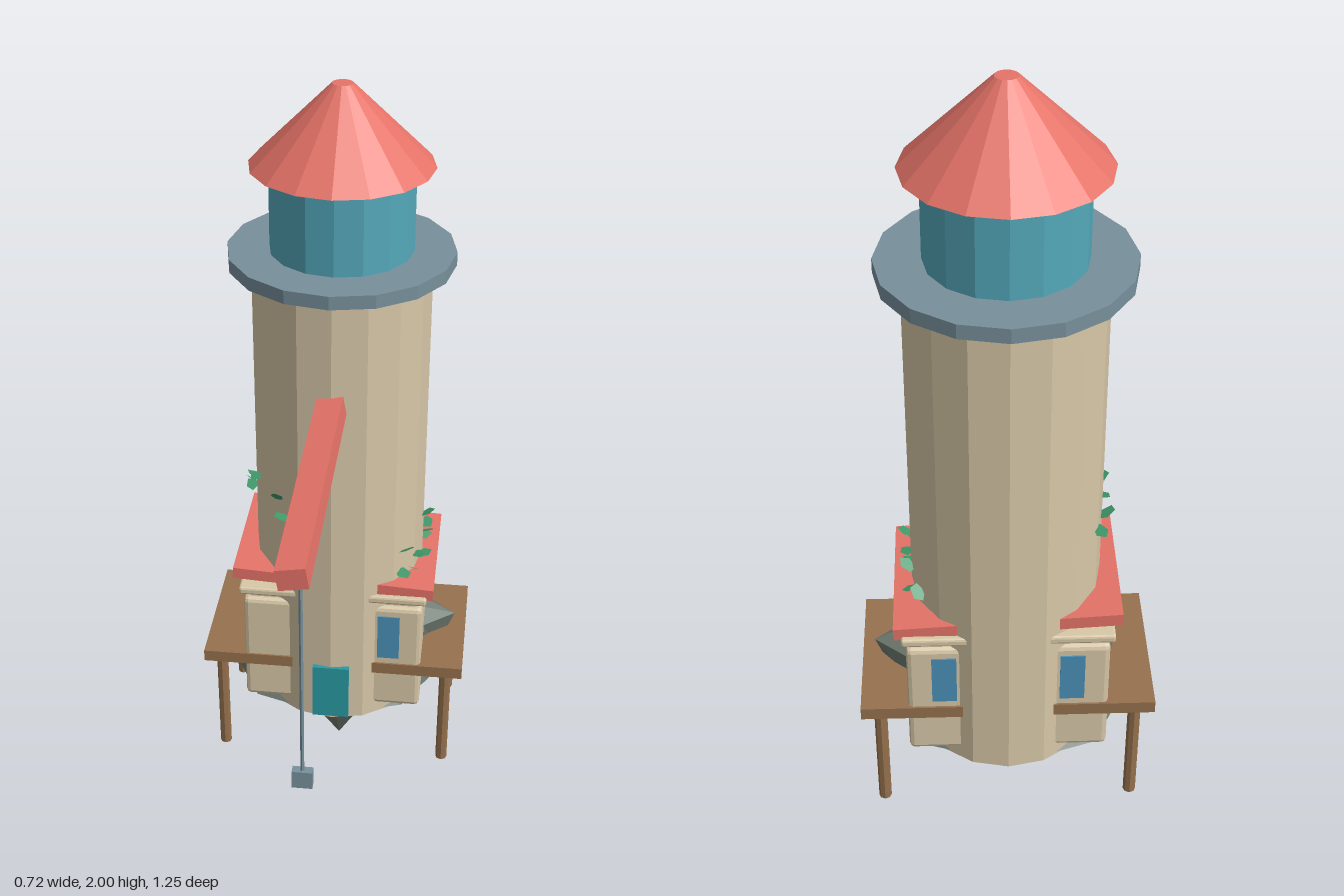
import * as THREE from 'three';
import { RoundedBoxGeometry } from 'three/addons/geometries/RoundedBoxGeometry.js';

const AXIS_Z = -0.34;
const mat = (color, side = THREE.FrontSide) =>
  new THREE.MeshStandardMaterial({ color, flatShading: true, side });

const CREAM = mat(0xd8c8a8), RED = mat(0xe57368), TEAL = mat(0x55a9bb), STEEL = mat(0x78909c);
const WOOD = mat(0x96714e), ROCK = mat(0x6f7a70), DOOR = mat(0x2a9aa4), GLASS = mat(0x4a90b8);
const LEAF = mat(0x3f9868, THREE.DoubleSide);

export function createModel() {
  const model = new THREE.Group();
  model.name = 'floatingLighthouse';

  const add = (name, geometry, material, x, y, z) => {
    const mesh = new THREE.Mesh(geometry, material);
    mesh.name = name;
    mesh.position.set(x, y, z);
    model.add(mesh);
    return mesh;
  };
  // Drum around the tower axis, given by its bottom and top height
  const drum = (name, rTop, rBottom, y0, y1, material) =>
    add(name, new THREE.CylinderGeometry(rTop, rBottom, y1 - y0, 16), material, 0, (y0 + y1) / 2, AXIS_Z);
  const box = (name, w, h, d, material, x, y, z) =>
    add(name, new THREE.BoxGeometry(w, h, d), material, x, y, z);

  // Tower, gallery, lantern and roof
  drum('tower', 0.23, 0.23, 0.25, 1.56, CREAM);
  drum('gallery', 0.288, 0.288, 1.55, 1.585, STEEL);
  drum('lantern', 0.182, 0.182, 1.58, 1.8, TEAL);
  drum('roof', 0.026, 0.23, 1.8, 2.0, RED);
  box('door', 0.1, 0.17, 0.04, DOOR, 0, 0.345, -0.124);

  // Side rooms running through the tower, with cornice and slightly tilted roof slab
  add('sideRooms', new RoundedBoxGeometry(0.49, 0.335, 0.385, 1, 0.012), CREAM, 0, 0.45, AXIS_Z);
  box('roomNeck', 0.45, 0.06, 0.35, CREAM, 0, 0.63, AXIS_Z);
  add('cornice', new RoundedBoxGeometry(0.51, 0.022, 0.41, 1, 0.006), CREAM, 0, 0.651, AXIS_Z);
  box('roomRoof', 0.545, 0.033, 0.38, RED, 0, 0.684, AXIS_Z).rotation.z = -0.06;

  // Room windows
  for (const [x, z] of [[0.155, -0.148], [0.155, -0.532], [-0.155, -0.532]])
    box('window', 0.06, 0.14, 0.008, GLASS, x, 0.52, z);

  // Decks with their posts
  for (const s of [1, -1]) {
    box('deck', 0.25, 0.034, 0.395, WOOD, s * 0.236, 0.413, AXIS_Z);
    for (const z of [-0.175, -0.5])
      add('deckPost', new THREE.CylinderGeometry(0.016, 0.016, 0.33, 8), WOOD, s * 0.315, 0.245, z);
  }

  // Hoist beam, rope and weight
  box('hoistBeam', 0.068, 0.052, 0.77, RED, 0, 1.254, 0.24).rotation.z = 0.16;
  add('rope', new THREE.CylinderGeometry(0.005, 0.005, 0.56, 6), STEEL, 0, 0.875, 0.488);
  box('weight', 0.05, 0.05, 0.022, STEEL, 0, 0.57, 0.488);

  model.add(makeRock(), makeIvy());
  return model;
}

// Faceted rock: stacked eight-sided rings, pointed below, two shoulders beside the rooms
function makeRock() {
  const N = 8;
  // height, centre x, x radius, z radius
  const rings = [
    [0, 0, 0.001, 0.001], [0.17, 0, 0.11, 0.1], [0.255, -0.012, 0.292, 0.225],
    [0.36, 0.005, 0.28, 0.135], [0.475, 0.03, 0.3, 0.1], [0.515, 0.005, 0.25, 0.03],
  ];
  const positions = [], index = [];
  rings.forEach(([y, cx, rx, rz], r) => {
    for (let i = 0; i < N; i++) {
      const a = (i / N) * Math.PI * 2;
      positions.push(cx + rx * Math.cos(a), y, AXIS_Z + rz * Math.sin(a));
      if (r === 0) continue;
      const j = (i + 1) % N, lo = (r - 1) * N, hi = r * N;
      index.push(lo + i, hi + i, hi + j, lo + i, hi + j, lo + j);
    }
  });
  const top = (rings.length - 1) * N;
  for (let i = 1; i < N - 1; i++) index.push(top, top + i + 1, top + i);
  const geometry = new THREE.BufferGeometry();
  geometry.setAttribute('position', new THREE.Float32BufferAttribute(positions, 3));
  geometry.setIndex(index);
  geometry.computeVertexNormals();
  const rock = new THREE.Mesh(geometry, ROCK);
  rock.name = 'rock';
  return rock;
}

// Small leaves scattered on both flanks of the tower
function makeIvy() {
  const ivy = new THREE.Group();
  ivy.name = 'ivy';
  const shape = new THREE.CircleGeometry(0.024, 5).rotateX(-Math.PI / 2).scale(1, 1, 0.7);
  // x side, z, height
  const leaves = [
    [1, -0.33, 0.82], [1, -0.35, 0.775], [1, -0.2, 0.78], [1, -0.25, 0.735], [1, -0.3, 0.705],
    [1, -0.45, 0.73], [1, -0.4, 0.7], [1, -0.36, 0.74], [1, -0.23, 0.7], [1, -0.19, 0.71],
    [-1, -0.15, 0.955], [-1, -0.14, 0.9], [-1, -0.23, 0.965], [-1, -0.27, 0.93],
    [-1, -0.3, 0.895], [-1, -0.36, 0.89], [-1, -0.44, 0.9],
  ];
  leaves.forEach(([side, z, y], i) => {
    const dz = z - AXIS_Z;
    const leaf = new THREE.Mesh(shape, LEAF);
    leaf.name = 'leaf';
    leaf.position.set(side * Math.sqrt(0.24 ** 2 - dz * dz), y, z);
    leaf.rotation.set(0.5 * Math.sin(i * 2.3), i * 1.7, 0.5 * Math.cos(i * 1.9));
    ivy.add(leaf);
  });
  return ivy;
}
